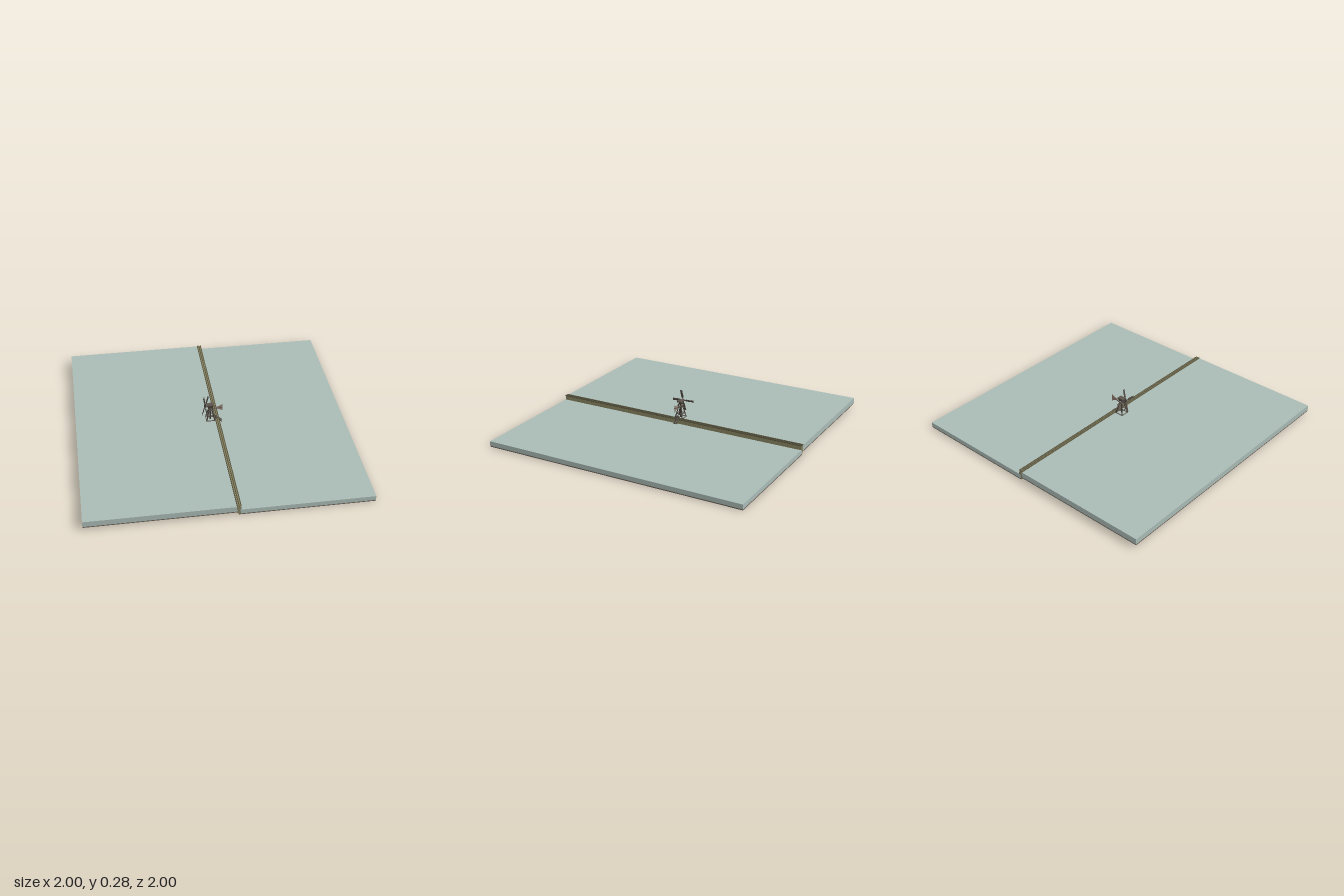
import * as THREE from 'three';

const mat = (name, color, side = THREE.FrontSide) => {
  const m = new THREE.MeshStandardMaterial({ color, side });
  m.name = name;
  return m;
};

export function createModel() {
  const root = new THREE.Group();
  root.name = 'polderMill';
  const water = mat('water', 0xa9bab5);
  const bed = mat('bed', 0x6a6156);
  const grass = mat('grass', 0x85825f);
  const edging = mat('edging', 0x5a5640);
  const wood = mat('wood', 0x5f574e);
  const darkWood = mat('darkWood', 0x423d38);
  const vaneWood = mat('vaneWood', 0x8f7d70, THREE.DoubleSide);

  const add = (parent, name, geometry, material, x = 0, y = 0, z = 0) => {
    const m = new THREE.Mesh(geometry, material);
    m.name = name;
    m.position.set(x, y, z);
    parent.add(m);
    return m;
  };
  // Box given by its limits in x and y and its depth in z
  const slab = (parent, name, x0, x1, y0, y1, depth, material) =>
    add(parent, name, new THREE.BoxGeometry(x1 - x0, y1 - y0, depth), material, (x0 + x1) / 2, (y0 + y1) / 2);
  // Square beam between two points
  const beam = (parent, name, a, b, t, material) => {
    const p = new THREE.Vector3(...a), q = new THREE.Vector3(...b);
    const m = add(parent, name, new THREE.BoxGeometry(t, t, p.distanceTo(q)), material);
    m.position.copy(p).add(q).multiplyScalar(0.5);
    m.lookAt(q);
    return m;
  };

  // Water at two levels on thin beds
  slab(root, 'highWater', -1, 0.04, 0.026, 0.068, 2, water);
  slab(root, 'highBed', -1, 0.04, 0.019, 0.026, 2, bed);
  slab(root, 'lowWater', 0.05, 1, 0.007, 0.041, 2, water);
  slab(root, 'lowBed', 0.05, 1, 0, 0.007, 2, bed);

  // Dike between the two levels, with edging strips on its crest
  const profile = new THREE.Shape([[0.04, 0.007], [0.062, 0.007], [0.066, 0.042], [0.062, 0.072], [0.034, 0.072], [0.034, 0.06]]
    .map(p => new THREE.Vector2(...p)));
  add(root, 'dike', new THREE.ExtrudeGeometry(profile, { depth: 2, bevelEnabled: false }), grass, 0, 0, -1);
  for (const x of [0.034, 0.047, 0.06]) slab(root, 'dikeEdging', x, x + 0.006, 0.07, 0.076, 2, edging);

  const mill = new THREE.Group();
  mill.name = 'mill';
  root.add(mill);

  // Splayed open trestle: rings of beams joined by corner legs
  const levels = [[0.068, 0.031], [0.1, 0.023], [0.15, 0.012]];
  const corners = [[1, 1], [-1, 1], [-1, -1], [1, -1]];
  corners.forEach(([sx, sz], i) => {
    const [nx, nz] = corners[(i + 1) % 4];
    levels.forEach(([y, r], k) => {
      beam(mill, 'ringBeam', [sx * r, y + 0.002, sz * r], [nx * r, y + 0.002, nz * r], 0.005, wood);
      if (k < 2) {
        const [y2, r2] = levels[k + 1];
        beam(mill, 'leg', [sx * r, y, sz * r], [sx * r2, y2, sz * r2], 0.006, darkWood);
      }
    });
  });
  slab(mill, 'centrePost', -0.005, 0.005, 0.065, 0.2, 0.01, darkWood);

  // Head frame carrying the sail shaft
  for (const z of [-0.014, 0.014]) {
    beam(mill, 'headSill', [-0.022, 0.166, z], [0.022, 0.166, z], 0.006, wood);
    beam(mill, 'headRail', [-0.03, 0.196, z], [0.024, 0.196, z], 0.006, wood);
    for (const x of [-0.016, 0.016]) beam(mill, 'headPost', [x * 0.75, 0.15, z * 0.8], [x, 0.196, z], 0.005, darkWood);
  }
  slab(mill, 'headRoof', -0.028, 0.024, 0.197, 0.202, 0.036, wood);
  slab(mill, 'headBlock', -0.012, 0.012, 0.172, 0.19, 0.02, darkWood);

  // Sails on a shaft that leans upward
  const rotor = new THREE.Group();
  rotor.name = 'rotor';
  rotor.position.set(-0.038, 0.19, 0);
  rotor.rotation.z = -0.26;
  mill.add(rotor);
  const shaft = add(rotor, 'shaft', new THREE.CylinderGeometry(0.004, 0.004, 0.05, 8), darkWood, 0.02);
  shaft.rotation.z = Math.PI / 2;
  slab(rotor, 'hub', -0.007, 0.007, -0.007, 0.007, 0.014, darkWood);
  for (let i = 0; i < 4; i++) {
    const sail = new THREE.Group();
    sail.name = 'sail';
    sail.rotation.x = i * Math.PI / 2 + 0.06;
    rotor.add(sail);
    slab(sail, 'sailStock', -0.002, 0.002, 0, 0.088, 0.005, darkWood);
    const board = slab(sail, 'sailBoard', -0.001, 0.001, 0.026, 0.087, 0.017, wood);
    board.rotation.y = 0.2;
    for (const y of [0.03, 0.05, 0.07, 0.085]) slab(sail, 'sailBar', -0.002, 0.002, y, y + 0.002, 0.018, darkWood);
  }

  // Triangular tail vane on two spars
  const vane = new THREE.Shape([[0.036, 0.165], [0.093, 0.138], [0.093, 0.192]].map(p => new THREE.Vector2(...p)));
  add(mill, 'tailVane', new THREE.ExtrudeGeometry(vane, { depth: 0.004, bevelEnabled: false }), vaneWood, 0, 0, -0.002);
  for (const z of [-0.012, 0.012]) beam(mill, 'tailSpar', [0.014, 0.167, z], [0.088, 0.166, z * 0.35], 0.004, wood);

  // Sloping water screw reaching over the dike
  const screw = new THREE.Group();
  screw.name = 'waterScrew';
  screw.position.set(0.063, 0.066, 0);
  screw.rotation.z = -Math.PI / 2 - 0.72;
  mill.add(screw);
  add(screw, 'screwCore', new THREE.CylinderGeometry(0.004, 0.004, 0.066, 8), darkWood);
  for (let i = 0; i < 7; i++) {
    const blade = add(screw, 'screwBlade', new THREE.CylinderGeometry(0.011, 0.011, 0.003, 12), wood, 0, -0.028 + i * 0.0093);
    blade.rotation.z = 0.3;
  }
  for (const z of [-0.013, 0.013]) beam(mill, 'screwRail', [0.035, 0.084, z], [0.085, 0.042, z], 0.004, edging);

  return root;
}
